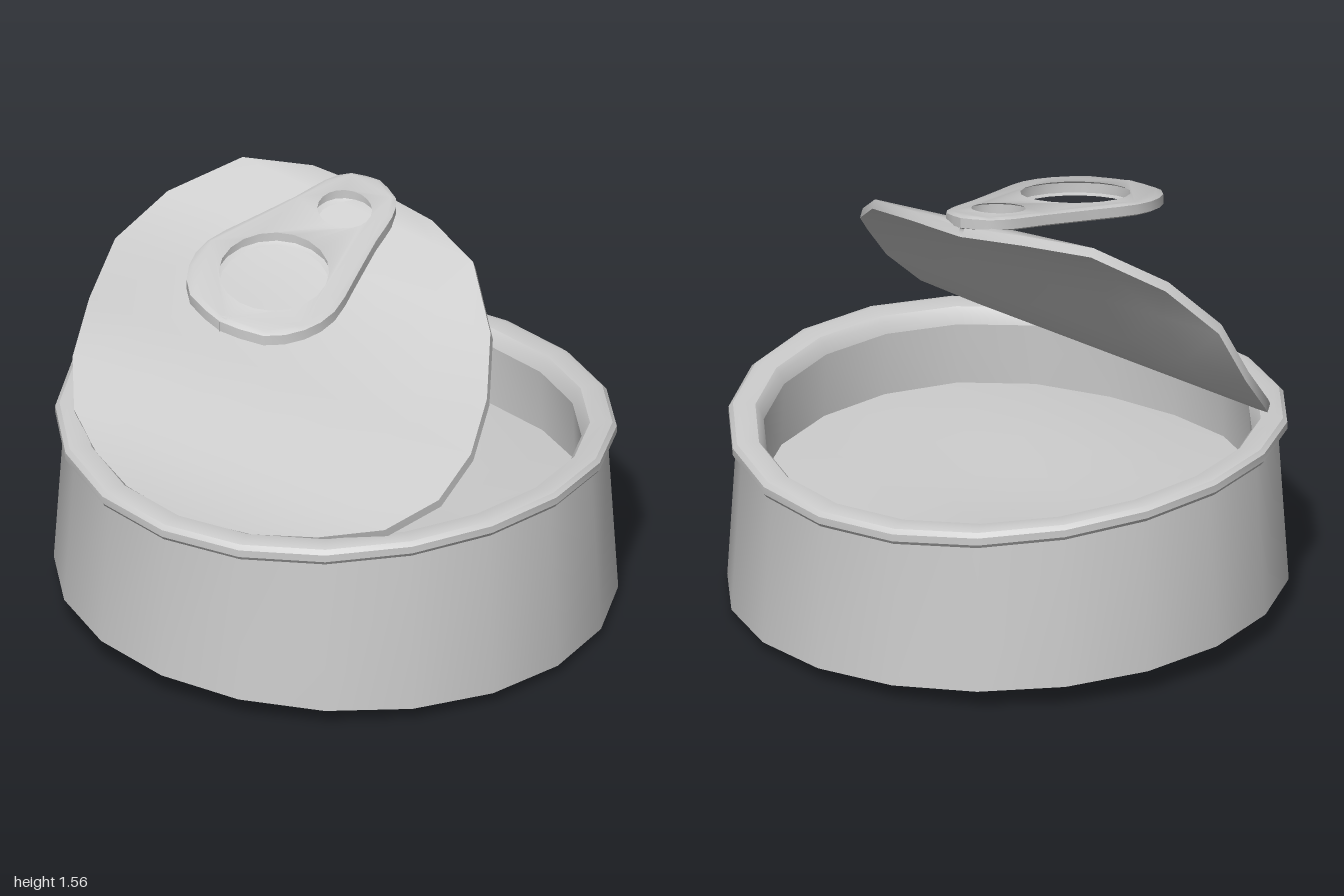
import * as THREE from 'three';
import { toCreasedNormals } from 'three/addons/utils/BufferGeometryUtils.js';

const metal = new THREE.MeshStandardMaterial({ color: 0xcccccc, side: THREE.DoubleSide });
const SIDES = 20;

// Uneven heights of the dented can: its lower edge and its rim
const baseY = (x, z) => 0.07 - 0.035 * x + 0.02 * z;
const rimY = (x, z) => 0.745 - 0.007 * x - (z < 0.2 ? 0.0625 : 0.078) * (z - 0.2) ** 2;

function addMesh(parent, name, geometry, crease = 0.5) {
  const mesh = new THREE.Mesh(toCreasedNormals(geometry, crease), metal);
  mesh.name = name;
  parent.add(mesh);
}

// Move every vertex to a new height
function setHeights(geometry, rule) {
  const p = geometry.attributes.position;
  for (let i = 0; i < p.count; i++) p.setY(i, rule(p.getX(i), p.getY(i), p.getZ(i)));
  return geometry;
}

// Ring from [radius, height offset]; 'level' gives the height the offset is measured from
function ring(profile, level) {
  const points = profile.map(([r, h]) => new THREE.Vector2(r, h));
  return setHeights(new THREE.LatheGeometry(points, SIDES), (x, y, z) => level(x, z) + y);
}

// Lid: straight rows across x, each [z, y, half width, drop towards +x, skew of z along x]
function lidGeometry() {
  const rows = [
    [-0.24, 1.51, 0.01, 0.1, 0], [-0.21, 1.515, 0.26, 0.1, 0.04], [-0.125, 1.485, 0.5, 0.1, 0.05],
    [0.04, 1.345, 0.7, 0.085, 0.05], [0.2, 1.185, 0.825, 0.055, 0.02], [0.32, 1.005, 0.86, 0.02, 0],
    [0.46, 0.855, 0.825, 0.005, 0], [0.61, 0.752, 0.7, 0, 0], [0.74, 0.71, 0.5, 0, 0],
    [0.84, 0.69, 0.28, 0, 0], [0.89, 0.685, 0.01, 0, 0],
  ];
  const cols = 6, loop = 2 * (cols + 1);
  const positions = [], index = [];
  for (const [z, y, w, drop, skew] of rows) {
    for (let j = 0; j < loop; j++) {
      const under = j > cols;
      const u = under ? loop - 1 - j : j;
      const x = w * (2 * u / cols - 1);
      const t = under ? 0.04 : 0;
      positions.push(x, y - drop * x - 0.8 * t, z - skew * x - 0.35 * t);
    }
  }
  for (let i = 0; i < rows.length - 1; i++) {
    for (let j = 0; j < loop; j++) {
      const a = i * loop + j, b = i * loop + (j + 1) % loop;
      index.push(a, a + loop, b, b, a + loop, b + loop);
    }
  }
  const g = new THREE.BufferGeometry();
  g.setAttribute('position', new THREE.Float32BufferAttribute(positions, 3));
  g.setIndex(index);
  return g;
}

// Pull tab: bevelled plate with two holes, tilted to sit on the lid's free end
function tabGeometry() {
  const half = [[0, -0.25], [0.1, -0.215], [0.15, -0.13], [0.18, 0], [0.24, 0.2],
    [0.285, 0.37], [0.26, 0.51], [0.165, 0.625], [0, 0.665]];
  const outline = [...half, ...half.slice(1).reverse().map(([x, z]) => [-x, z]), half[0]];
  const curve = new THREE.SplineCurve(outline.map(([x, z]) => new THREE.Vector2(x, -z)));
  const shape = new THREE.Shape(curve.getPoints(34).slice(0, -1));
  for (const [z, rx, rz] of [[-0.05, 0.115, 0.11], [0.355, 0.21, 0.215]]) {
    shape.holes.push(new THREE.Path().absellipse(0, -z, rx, rz, 0, Math.PI * 2, true));
  }
  const g = new THREE.ExtrudeGeometry(shape, {
    depth: 0.038, curveSegments: 10, bevelEnabled: true,
    bevelThickness: 0.008, bevelSize: 0.016, bevelOffset: -0.016, bevelSegments: 1,
  });
  g.rotateX(-Math.PI / 2);
  return setHeights(g, (x, y, z) => y - 0.019 + 1.484 - 0.185 * z - 0.16 * x);
}

export function createModel() {
  const model = new THREE.Group();
  model.name = 'openCan';

  // Can body, with a slightly bulging bottom
  const can = new THREE.Group();
  can.name = 'can';
  model.add(can);
  addMesh(can, 'bottom', ring([[0, 0], [0.35, 0], [0.7, 0], [1, 0]],
    (x, z) => baseY(x, z) * (x * x + z * z)));
  const wall = new THREE.CylinderGeometry(0.963, 1, 1, SIDES, 1, true);
  addMesh(can, 'outerWall', setHeights(wall, (x, y, z) =>
    (y < 0 ? baseY(x, z) : rimY(x, z) - 0.066)));
  addMesh(can, 'rim', ring([[0.96, -0.066], [0.985, -0.06], [0.995, -0.045], [0.995, -0.018],
    [0.98, -0.004], [0.955, 0], [0.9, -0.012], [0.885, -0.03], [0.87, -0.07]], rimY));
  addMesh(can, 'innerWall', ring([[0.87, -0.07], [0.88, -0.32]], rimY));

  // Uneven inner floor, sagging towards the middle
  addMesh(can, 'innerFloor', ring(
    [[0.88, -0.3], [0.7, -0.31], [0.45, -0.335], [0.2, -0.365], [0, -0.375]],
    (x, z) => rimY(x, z) + 0.012 * Math.sin(4 * x + 1) * Math.cos(3 * z)));

  // Peeled-back lid with its tab
  const lid = new THREE.Group();
  lid.name = 'lid';
  model.add(lid);
  addMesh(lid, 'lidSheet', lidGeometry(), 0.7);
  addMesh(lid, 'pullTab', tabGeometry());
  return model;
}
